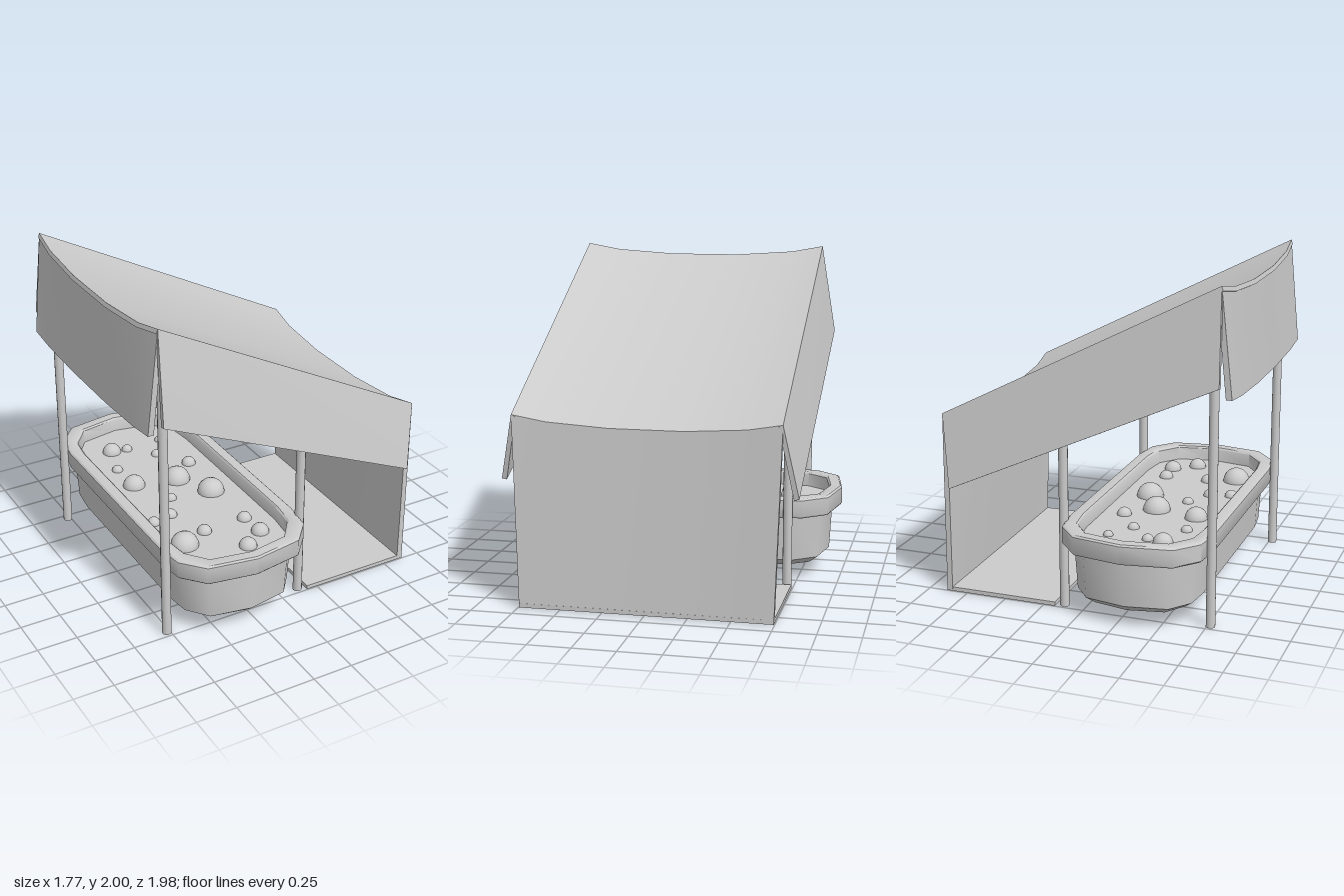
import * as THREE from 'three';
import { toCreasedNormals } from 'three/addons/utils/BufferGeometryUtils.js';

const mat = new THREE.MeshStandardMaterial({ color: 0xcccccc });

function add(parent, name, geo, x = 0, y = 0, z = 0) {
  const m = new THREE.Mesh(geo, mat);
  m.name = name;
  m.position.set(x, y, z);
  parent.add(m);
  return m;
}

// Solid through a row of closed rings, capped at both ends, faces turned outward
function loft(rings, crease = 0.6) {
  const n = rings[0].length, pos = rings.flat(2), tri = [];
  for (let i = 0; i < rings.length - 1; i++) {
    for (let j = 0; j < n; j++) {
      const k = (j + 1) % n, a = i * n + j, b = i * n + k;
      tri.push([a, a + n, b + n], [a, b + n, b]);
    }
  }
  [0, rings.length - 1].forEach((r, end) => {
    const c = pos.length / 3;
    for (let d = 0; d < 3; d++) pos.push(rings[r].reduce((s, p) => s + p[d], 0) / n);
    for (let j = 0; j < n; j++) {
      const a = r * n + j, b = r * n + (j + 1) % n;
      tri.push(end ? [c, b, a] : [c, a, b]);
    }
  });
  const at = i => new THREE.Vector3().fromArray(pos, i * 3);
  const volume = tri.reduce((s, [a, b, c]) => s + at(a).dot(at(b).cross(at(c))), 0);
  const g = new THREE.BufferGeometry();
  g.setAttribute('position', new THREE.Float32BufferAttribute(pos, 3));
  g.setIndex(tri.flatMap(([a, b, c]) => (volume < 0 ? [a, c, b] : [a, b, c])));
  return toCreasedNormals(g, crease);
}

// Sagging cloth stations across the depth: [z, sag amount]
const stations = [[-0.78, 0], [-0.58, 0.6], [-0.22, 1], [0.22, 1], [0.58, 0.6], [0.78, 0]];

function createCanopy() {
  const g = new THREE.Group();
  g.name = 'canopy';
  const high = s => [-0.82 - 0.03 * s, 2 - 0.063 * s];
  const low = s => [0.86 - 0.03 * s, 1.13 - 0.063 * s];

  add(g, 'roof', loft(stations.map(([z, s]) => {
    const [a, b] = high(s), [c, d] = low(s);
    return [[a, b, z], [c, d, z], [c - 0.013, d - 0.027, z], [a - 0.008, b - 0.027, z]];
  })));

  add(g, 'tallEndFlap', loft(stations.map(([z, s]) => {
    const [a, b] = high(s), y = 1.37 - 0.04 * s, w = z * 0.98;
    return [[a, b, z], [-0.885, y, w], [-0.85, y, w], [a + 0.03, b - 0.02, z]];
  })));

  add(g, 'lowEndWall', loft(stations.map(([z, s]) => {
    const [a, b] = low(s), w = z * 0.955;
    return [[a, b, z], [0.885, 0, w], [0.85, 0, w], [a - 0.03, b, z]];
  })));

  // Front and back hanging flaps
  for (const [name, side, drop] of [['frontFlap', 1, 0.74], ['backFlap', -1, 0.70]]) {
    const end = (x0, y0, x1, y1) => [
      [x0, y0, 0.78 * side], [x1, y1, 0.866 * side],
      [x1, y1 - 0.005, 0.836 * side], [x0, y0 - 0.01, 0.755 * side],
    ];
    add(g, name, loft([end(-0.82, 2, -0.84, 1.455), end(0.86, 1.13, 0.79, drop)]));
  }

  add(g, 'floor', new THREE.BoxGeometry(0.705, 0.025, 1.49), 0.5325, 0.0125, 0);
  return g;
}

function createTub() {
  const g = new THREE.Group();
  g.name = 'tub';
  g.position.x = -0.315;
  const hx = 0.445, hz = 0.988;

  // Faceted oval plan, one end mirrored to the other
  const tip = [[0.445, 0.62], [0.42, 0.8], [0.3, 0.938], [0, 0.988], [-0.3, 0.938], [-0.42, 0.8], [-0.445, 0.62]];
  const plan = [...tip, ...tip.map(([x, z]) => [-x, -z])];

  // Rings as [inset, height]
  const build = profile => loft(profile.map(([d, y]) =>
    plan.map(([x, z]) => [x * (hx - d) / hx, y, z * (hz - d) / hz])), 0.75);
  add(g, 'basin', build([[0.16, 0.088], [0.13, 0.095], [0.075, 0.14], [0.058, 0.44]]));
  add(g, 'rimAndFilling', build([
    [0.05, 0.42], [0.008, 0.42], [0, 0.43], [0, 0.53], [0.01, 0.54],
    [0.07, 0.54], [0.08, 0.53], [0.085, 0.45],
  ]));

  // Bubbles half sunk in the filling: x, z, radius
  const bubbles = [
    [-0.10, 0.64, 0.055], [-0.24, 0.74, 0.055], [-0.11, 0.47, 0.045], [-0.56, 0.55, 0.085],
    [-0.39, 0.48, 0.045], [-0.48, 0.22, 0.04], [-0.61, 0.25, 0.04], [-0.13, 0.09, 0.085],
    [-0.39, 0.05, 0.035], [-0.25, -0.14, 0.085], [-0.52, -0.20, 0.07], [-0.09, -0.28, 0.045],
    [-0.22, -0.48, 0.035], [-0.12, -0.64, 0.03], [-0.36, -0.63, 0.035], [-0.53, -0.42, 0.035],
    [-0.46, -0.65, 0.06],
  ];
  for (const [x, z, r] of bubbles) {
    add(g, 'bubble', new THREE.SphereGeometry(r, 16, 10), x + 0.315, 0.45, z);
  }
  return g;
}

export function createModel() {
  const model = new THREE.Group();
  model.name = 'shelteredTub';
  model.add(createCanopy(), createTub());

  // Four poles reaching the underside of the roof
  for (const [x, h] of [[-0.77, 1.93], [0.13, 1.47]]) {
    for (const z of [-0.71, 0.71]) {
      add(model, 'pole', new THREE.CylinderGeometry(0.028, 0.028, h, 12), x, h / 2, z);
    }
  }
  return model;
}
